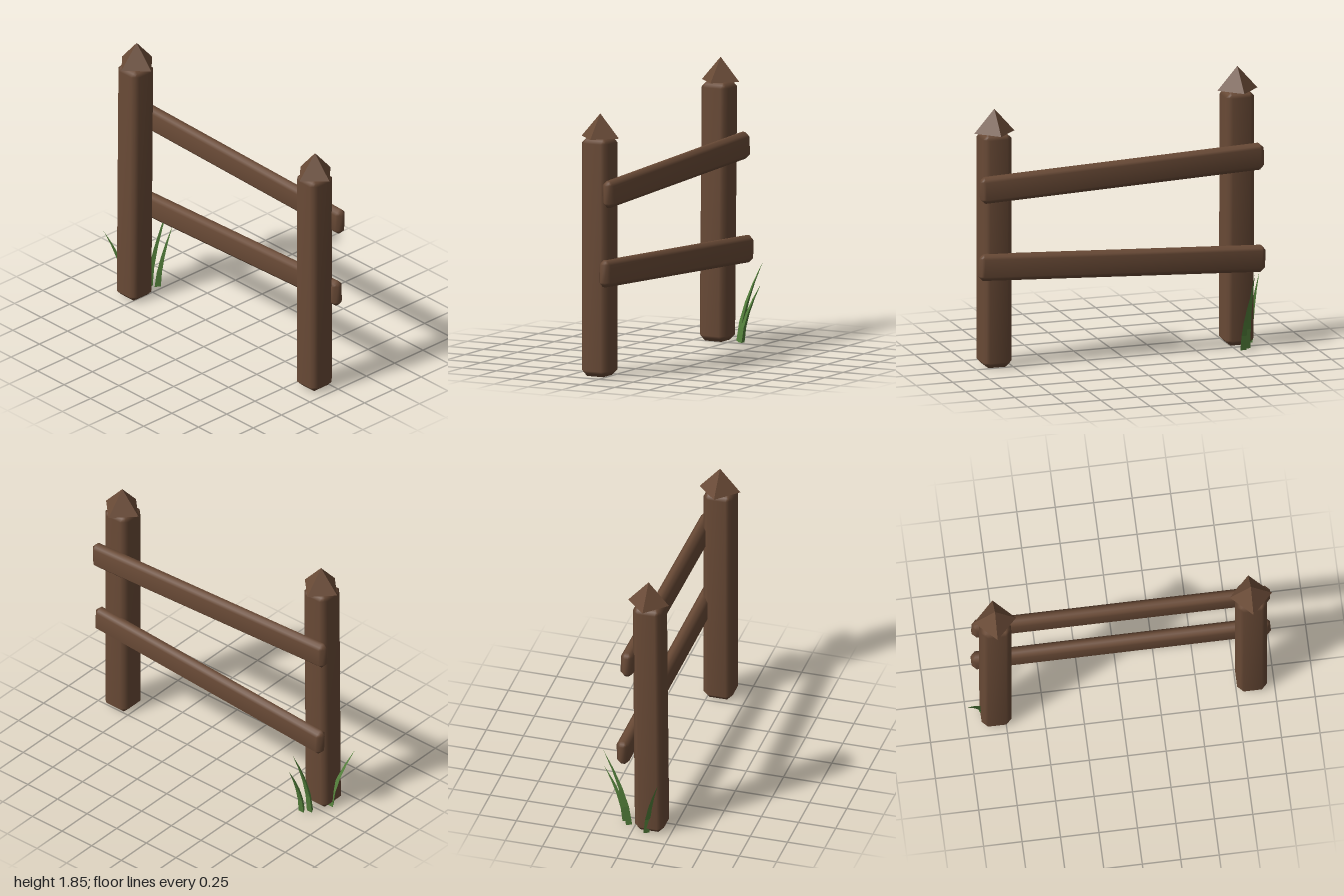
import * as THREE from 'three';
import { mergeVertices } from 'three/addons/utils/BufferGeometryUtils.js';

const wood = new THREE.MeshStandardMaterial({ color: 0x694a36 });
wood.name = 'brown wood';
const green = new THREE.MeshStandardMaterial({ color: 0x55823c, side: THREE.DoubleSide });
green.name = 'grass green';

// Box with one flat chamfer along every edge, shaded smoothly
function chamferBox(w, h, d, bevel) {
  const geo = new THREE.BoxGeometry(1, 1, 1, 3, 3, 3);
  const pos = geo.attributes.position;
  const half = [w / 2, h / 2, d / 2];
  for (let i = 0; i < pos.count; i++) {
    const p = [pos.getX(i), pos.getY(i), pos.getZ(i)];
    const n = p.filter((c) => Math.abs(c) > 0.4).length;
    const q = p.map((c, k) => {
      const inset = Math.abs(c) > 0.4 ? (bevel * (n - 1)) / n : bevel;
      return Math.sign(c) * (half[k] - inset);
    });
    pos.setXYZ(i, ...q);
  }
  geo.deleteAttribute('uv');
  geo.deleteAttribute('normal');
  const merged = mergeVertices(geo);
  merged.computeVertexNormals();
  return merged;
}

function addMesh(group, name, geo, material) {
  const mesh = new THREE.Mesh(geo, material);
  mesh.name = name;
  group.add(mesh);
  return mesh;
}

// Four-sided pyramid with flat faces, corners on the x and z axes
function pyramid(radius, height) {
  const geo = new THREE.ConeGeometry(radius, height, 4).toNonIndexed();
  geo.computeVertexNormals();
  return geo;
}

// Tapered blade, three-sided, curving from base to tip
function grassBlade(base, tip, radius) {
  let geo = new THREE.ConeGeometry(radius, 1, 3, 4).translate(0, 0.5, 0);
  const pos = geo.attributes.position;
  for (let i = 0; i < pos.count; i++) {
    const t = pos.getY(i);
    const bend = Math.pow(t, 1.6);
    const swell = 1 + 0.5 * t;
    pos.setXYZ(
      i,
      base[0] + pos.getX(i) * swell + (tip[0] - base[0]) * bend,
      t * tip[1],
      base[1] + pos.getZ(i) * swell + (tip[2] - base[1]) * bend
    );
  }
  geo = geo.toNonIndexed();
  geo.computeVertexNormals();
  return geo;
}

export function createModel() {
  const model = new THREE.Group();
  model.name = 'fence';

  // Posts with pointed caps
  const posts = [
    { name: 'rightPost', x: -0.81, z: 0.099, h: 1.695, lean: -0.009, capZ: 0.083, apex: 1.85 },
    { name: 'leftPost', x: 0.855, z: 0.073, h: 1.56, lean: 0, capZ: 0.068, apex: 1.71 },
  ];
  for (const p of posts) {
    const post = new THREE.Group();
    post.name = p.name;
    const shaft = addMesh(post, 'shaft', chamferBox(0.195, p.h, 0.195, 0.038), wood);
    shaft.position.set(p.x, p.h / 2, p.z);
    shaft.rotation.x = p.lean;
    const cap = addMesh(post, 'cap', pyramid(0.137, 0.155), wood);
    cap.position.set(p.x, p.apex - 0.0775, p.capZ);
    model.add(post);
  }

  // Rails, each running between two end points behind the posts
  const rails = [
    ['upperRail', [-0.948, 1.268, -0.03], [0.993, 1.203, -0.05]],
    ['lowerRail', [-0.948, 0.592, -0.058], [0.993, 0.686, -0.023]],
  ];
  for (const [name, a, b] of rails) {
    const from = new THREE.Vector3(...a);
    const to = new THREE.Vector3(...b);
    const dir = to.clone().sub(from);
    const rail = addMesh(model, name, chamferBox(dir.length(), 0.175, 0.083, 0.03), wood);
    rail.position.copy(from).add(to).multiplyScalar(0.5);
    rail.quaternion.setFromUnitVectors(new THREE.Vector3(1, 0, 0), dir.normalize());
  }

  // Grass tuft around one post
  const grass = new THREE.Group();
  grass.name = 'grass';
  const blades = [
    [[-0.892, 0.09], [-1.0, 0.43, 0.2]],
    [[-0.83, -0.045], [-0.825, 0.525, -0.215]],
    [[-0.79, -0.08], [-0.795, 0.39, -0.22]],
  ];
  blades.forEach(([base, tip], i) => {
    addMesh(grass, `grassBlade${i + 1}`, grassBlade(base, tip, 0.024), green);
  });
  model.add(grass);

  return model;
}
